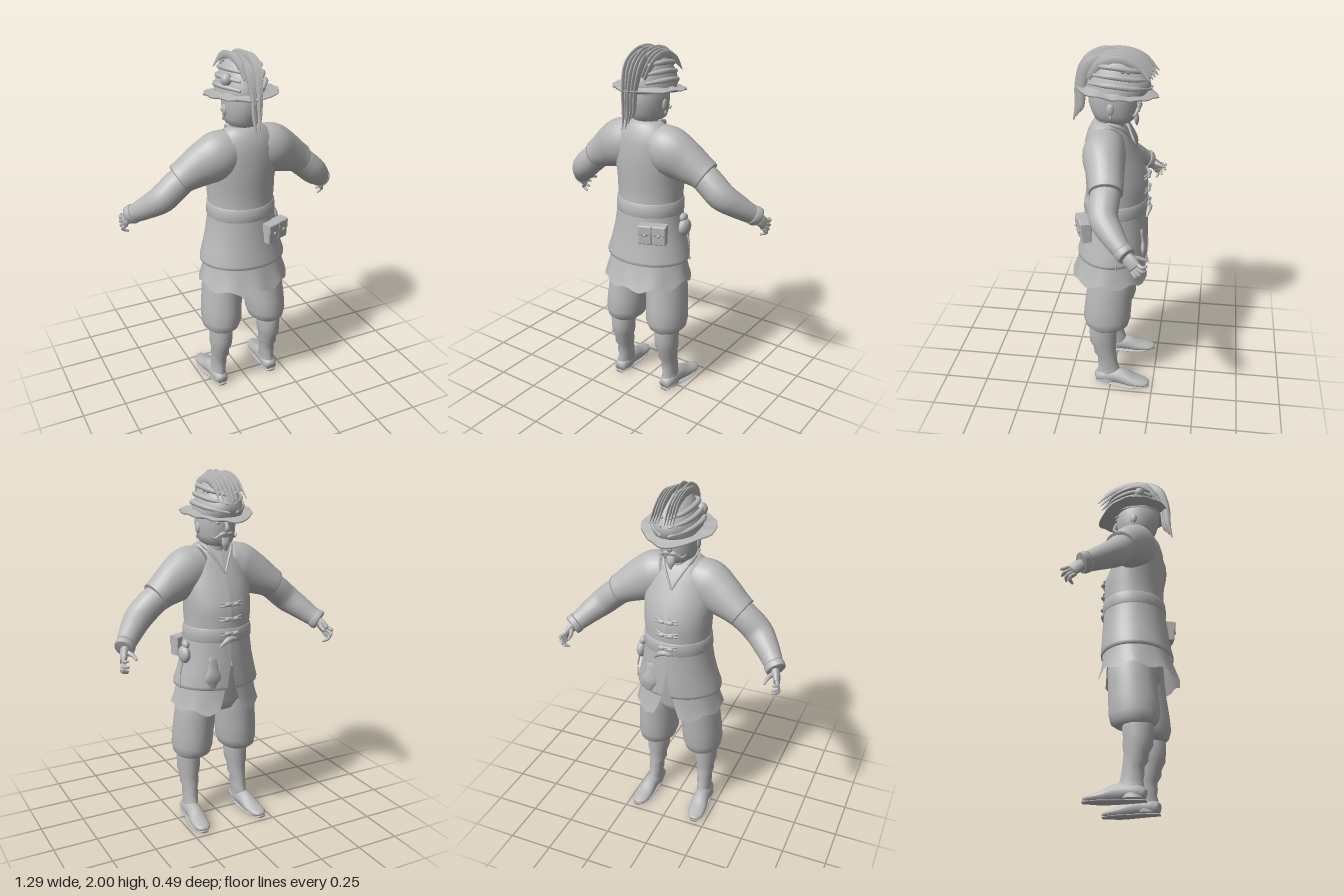
import * as THREE from 'three';

const V = (x, y, z) => new THREE.Vector3(x, y, z);
const X = V(1, 0, 0), Z = V(0, 0, 1);

// Skin a list of point rings into one smooth surface
function skin(rings, closed) {
  const n = rings[0].length, pos = rings.flat().flatMap(p => [p.x, p.y, p.z]), idx = [];
  for (let i = 0; i < rings.length - 1; i++) {
    for (let j = 0; j < (closed ? n : n - 1); j++) {
      const k = (j + 1) % n, a = i * n + j, b = i * n + k, c = a + n, d = b + n;
      idx.push(a, b, c, b, d, c);
    }
  }
  const g = new THREE.BufferGeometry();
  g.setAttribute('position', new THREE.Float32BufferAttribute(pos, 3));
  g.setIndex(idx);
  g.computeVertexNormals();
  return g;
}

// Stacked horizontal ellipses, bottom to top: [y, halfWidth, backZ, frontZ, centreX, frontGapAngle]
function hoops(rows, move = p => p, n = 36) {
  const closed = rows.every(r => !r[5]);
  return skin(rows.map(([y, w, zb, zf, cx = 0, gap = 0]) => {
    const ring = [];
    for (let j = 0; j < (closed ? n : n + 1); j++) {
      const a = Math.PI / 2 + gap + (j / n) * (2 * Math.PI - 2 * gap);
      ring.push(move(V(cx + w * Math.cos(a), y, (zb + zf) / 2 - (zb - zf) / 2 * Math.sin(a))));
    }
    return ring;
  }), closed);
}

// Tapering limb along a curve: [x, y, z, radiusAcross, radiusAlongRef]; ends are closed
function limb(points, ref = Z, steps = 16, n = 14) {
  const path = new THREE.CatmullRomCurve3(points.map(p => V(p[0], p[1], p[2])));
  const size = new THREE.CatmullRomCurve3(points.map(p => V(p[3], p[4] ?? p[3], 0)));
  const rings = [];
  for (let i = -1; i <= steps + 1; i++) {
    const t = Math.min(Math.max(i / steps, 0), 1), end = i < 0 || i > steps ? 0.01 : 1;
    const c = path.getPoint(t), s = size.getPoint(t), d = path.getTangent(t);
    const u = ref.clone().cross(d).normalize(), v = d.clone().cross(u), ring = [];
    for (let j = 0; j < n; j++) {
      const a = (j / n) * 2 * Math.PI;
      ring.push(c.clone()
        .addScaledVector(u, Math.max(s.x, 0.001) * end * Math.cos(a))
        .addScaledVector(v, Math.max(s.y, 0.001) * end * Math.sin(a)));
    }
    rings.push(ring);
  }
  return skin(rings, true);
}

export function createModel() {
  const model = new THREE.Group();
  const clay = new THREE.MeshStandardMaterial({ color: 0xb8b8b8, side: THREE.DoubleSide });
  clay.name = 'plain grey';
  const add = (name, geo) => {
    const m = new THREE.Mesh(geo, clay);
    m.name = name;
    model.add(m);
    return m;
  };
  const ball = (name, x, y, z, rx, ry = rx, rz = rx) => {
    const m = add(name, new THREE.SphereGeometry(1, 16, 12));
    m.position.set(x, y, z);
    m.scale.set(rx, ry, rz);
    return m;
  };

  // Tunic with a slit below the waist, sash and hem roll
  add('tunic', hoops([
    [0.83, 0.236, 0.198, -0.182, 0, 0.12], [0.832, 0.246, 0.207, -0.191, 0, 0.12],
    [0.85, 0.247, 0.207, -0.193, 0, 0.1], [0.92, 0.226, 0.19, -0.19, 0, 0.06],
    [1.0, 0.205, 0.18, -0.188], [1.1, 0.19, 0.166, -0.182], [1.18, 0.184, 0.158, -0.18],
    [1.24, 0.19, 0.156, -0.183], [1.31, 0.19, 0.16, -0.178], [1.4, 0.2, 0.163, -0.138],
    [1.5, 0.19, 0.158, -0.092], [1.56, 0.165, 0.142, -0.058], [1.6, 0.115, 0.12, -0.03],
    [1.618, 0.088, 0.1, -0.02], [1.61, 0.07, 0.085, -0.01]]));
  add('sash', hoops([
    [1.095, 0.186, 0.16, -0.178], [1.105, 0.195, 0.171, -0.187],
    [1.14, 0.193, 0.169, -0.188], [1.17, 0.191, 0.165, -0.187], [1.178, 0.182, 0.156, -0.178]]));

  // Shirt tail with a wavy hem, open at the front
  const wave = p => {
    if (p.y < 0.78) p.y += 0.013 * Math.sin(9 * Math.atan2(p.z, p.x)) - 0.02 * Math.abs(p.z) / 0.2;
    return p;
  };
  add('shirtTail', hoops([
    [0.715, 0.258, 0.24, -0.205, 0, 0.3], [0.77, 0.24, 0.218, -0.19, 0, 0.22],
    [0.84, 0.222, 0.19, -0.178, 0, 0.14], [0.92, 0.205, 0.175, -0.17, 0, 0.1]], wave, 54));
  add('hips', hoops([
    [0.66, 0.02, 0.04, -0.03], [0.68, 0.12, 0.11, -0.1], [0.74, 0.215, 0.14, -0.13], [0.95, 0.19, 0.15, -0.15]]));

  for (const s of [1, -1]) {
    // Baggy breeches gathered at the knee
    add('breechesLeg', hoops([
      [0.4, 0.06, 0.1, -0.03, s * 0.155], [0.395, 0.082, 0.125, -0.07, s * 0.148],
      [0.415, 0.103, 0.148, -0.098, s * 0.146], [0.46, 0.114, 0.162, -0.11, s * 0.142],
      [0.54, 0.115, 0.155, -0.115, s * 0.138], [0.64, 0.114, 0.142, -0.12, s * 0.13],
      [0.72, 0.113, 0.135, -0.125, s * 0.122], [0.84, 0.1, 0.13, -0.12, s * 0.11]]));
    // Soft wrinkled boot and foot
    add('bootShaft', hoops([
      [0.02, 0.045, 0.085, -0.04, s * 0.17], [0.07, 0.042, 0.084, -0.06, s * 0.165],
      [0.11, 0.039, 0.076, -0.046, s * 0.161], [0.14, 0.045, 0.08, -0.038, s * 0.161],
      [0.18, 0.042, 0.08, -0.034, s * 0.16], [0.21, 0.053, 0.1, -0.03, s * 0.158],
      [0.25, 0.052, 0.104, -0.026, s * 0.158], [0.29, 0.063, 0.126, -0.032, s * 0.157],
      [0.34, 0.066, 0.128, -0.03, s * 0.155], [0.385, 0.068, 0.13, -0.036, s * 0.156],
      [0.41, 0.066, 0.125, -0.03, s * 0.156]], undefined, 24));
    add('foot', limb([
      [s * 0.163, 0.035, 0.088, 0.028, 0.032], [s * 0.166, 0.05, 0.04, 0.048, 0.045],
      [s * 0.17, 0.052, -0.05, 0.05, 0.045], [s * 0.178, 0.034, -0.13, 0.032, 0.052],
      [s * 0.184, 0.026, -0.195, 0.02, 0.046], [s * 0.188, 0.024, -0.228, 0.012, 0.022]], X));
    add('bootSole', limb([
      [s * 0.165, 0.008, 0.09, 0.008, 0.025], [s * 0.168, 0.008, 0.0, 0.008, 0.042],
      [s * 0.18, 0.008, -0.13, 0.008, 0.055], [s * 0.188, 0.012, -0.23, 0.008, 0.022]], X));

    // Short tunic sleeve, shirt sleeve and cuff
    add('tunicSleeve', limb([
      [s * 0.06, 1.5, 0.035, 0.11, 0.1], [s * 0.15, 1.465, 0.035, 0.135, 0.115],
      [s * 0.25, 1.415, 0.015, 0.115, 0.1], [s * 0.33, 1.37, 0.0, 0.09, 0.09],
      [s * 0.362, 1.35, -0.004, 0.084, 0.087]], Z, 20, 24));
    add('shirtSleeve', limb([
      [s * 0.3, 1.38, 0.0, 0.07, 0.075], [s * 0.38, 1.325, 0.0, 0.078, 0.078],
      [s * 0.455, 1.26, -0.005, 0.077, 0.075], [s * 0.52, 1.205, -0.055, 0.066, 0.064],
      [s * 0.57, 1.16, -0.105, 0.055, 0.05], [s * 0.595, 1.14, -0.135, 0.05, 0.044]], Z, 20, 20));
    add('cuff', limb([
      [s * 0.578, 1.153, -0.115, 0.055, 0.05], [s * 0.592, 1.142, -0.13, 0.058, 0.05],
      [s * 0.602, 1.134, -0.142, 0.054, 0.046]], Z, 6, 20));
    // Hand with spread, slightly curled fingers
    add('palm', limb([
      [s * 0.59, 1.14, -0.13, 0.03, 0.024], [s * 0.61, 1.11, -0.16, 0.036, 0.02],
      [s * 0.622, 1.085, -0.185, 0.034, 0.016]], X, 8));
    [[1.1, -0.243], [1.065, -0.238], [1.035, -0.215], [1.018, -0.183]].forEach(([y, z], i) => {
      add('finger', limb([
        [s * 0.617, 1.108 - i * 0.014, -0.19 + i * 0.008, 0.011], [s * 0.634, (y + 1.09 - i * 0.012) / 2, z * 0.5 - 0.098, 0.0105],
        [s * (0.62 - i * 0.006), y, z, 0.006]], X, 8, 8));
    });
    add('thumb', limb([
      [s * 0.6, 1.125, -0.155, 0.014], [s * 0.578, 1.115, -0.195, 0.012], [s * 0.572, 1.1, -0.24, 0.006]], X, 8, 8));

    // Collar edge, and the paired features of the face
    add('collarEdge', limb([
      [s * 0.085, 1.617, 0.03, 0.008], [s * 0.07, 1.59, -0.045, 0.008],
      [s * 0.035, 1.53, -0.083, 0.007], [0, 1.465, -0.113, 0.006]], X, 12, 8));
    ball('ear', s * 0.103, 1.7, 0.01, 0.012, 0.032, 0.02);
    ball('earring', s * 0.108, 1.66, 0.008, 0.006, 0.014, 0.006);
    ball('eye', s * 0.04, 1.735, -0.108, 0.015, 0.009, 0.008);
    add('eyebrow', limb([[s * 0.015, 1.75, -0.122, 0.006], [s * 0.045, 1.757, -0.113, 0.007], [s * 0.075, 1.745, -0.088, 0.003]], Z, 8, 8));
    add('moustache', limb([[0, 1.682, -0.128, 0.008], [s * 0.03, 1.676, -0.122, 0.008], [s * 0.06, 1.655, -0.104, 0.006], [s * 0.078, 1.672, -0.092, 0.002]], Z, 10, 8));
  }

  // Head, neck, nose and pointed beard
  add('neck', hoops([[1.52, 0.075, 0.1, -0.05], [1.6, 0.066, 0.095, -0.045], [1.68, 0.065, 0.09, -0.05]]));
  add('head', hoops([
    [1.605, 0.01, 0.03, -0.05], [1.608, 0.06, 0.085, -0.085], [1.625, 0.085, 0.105, -0.105],
    [1.66, 0.098, 0.122, -0.116], [1.71, 0.104, 0.137, -0.12], [1.77, 0.105, 0.14, -0.122], [1.83, 0.09, 0.12, -0.1]]));
  add('nose', limb([[0, 1.75, -0.118, 0.008, 0.009], [0, 1.715, -0.132, 0.011, 0.013], [0, 1.697, -0.134, 0.01, 0.016], [0, 1.69, -0.122, 0.006, 0.012]], X, 10, 10));
  add('beard', limb([[0, 1.655, -0.114, 0.008, 0.02], [0, 1.625, -0.116, 0.014, 0.024], [0, 1.585, -0.118, 0.003, 0.004]], X, 8, 10));

  // Hat: pointed, gently warped brim and a folded crown
  const warp = p => {
    p.x *= p.z < 0 ? 1 - 0.5 * Math.min(1, p.z * p.z * 16) : 1;
    p.y += 0.09 * p.z + 0.35 * p.x * p.x + 0.004 * Math.sin(p.z * 60 + p.x * 25);
    return p;
  };
  add('hatBrim', hoops([
    [1.775, 0.1, 0.13, -0.12], [1.765, 0.15, 0.165, -0.18], [1.77, 0.2, 0.2, -0.232],
    [1.778, 0.198, 0.198, -0.23], [1.778, 0.15, 0.165, -0.18], [1.795, 0.11, 0.135, -0.13]], warp, 48));
  add('hatCrown', hoops([
    [1.765, 0.124, 0.14, -0.165], [1.8, 0.127, 0.148, -0.19], [1.84, 0.115, 0.14, -0.185],
    [1.89, 0.1, 0.12, -0.155], [1.94, 0.076, 0.085, -0.11], [1.965, 0.045, 0.05, -0.06], [1.97, 0.004, 0.0, -0.01]]));
  for (let i = 0; i < 3; i++) for (const s of [1, -1]) {
    const y = 1.815 + i * 0.043, w = 0.128 - i * 0.016;
    add('hatFold', limb([
      [s * w * 0.5, y + 0.01, 0.125 - i * 0.015, 0.008], [s * w, y + 0.02, 0.02, 0.014],
      [s * w * 0.8, y, -0.11, 0.013], [s * 0.02, y - 0.02, -0.195 + i * 0.012, 0.006]], V(0, 1, 0), 14, 8));
  }
  ball('hatButton', 0.085, 1.9, -0.08, 0.014);
  ball('hatButton', 0.088, 1.9, -0.05, 0.014);
  ball('hatRosette', -0.105, 1.87, 0.045, 0.03, 0.034, 0.03);

  // Plumes: thin upright blades trailing back, and a crest sweeping forward
  for (let i = 0; i < 6; i++) {
    const x = (i - 2.5) * 0.012, out = 0.012 * (i % 3);
    add('trailingPlume', limb([
      [x, 1.95, -0.06, 0.012, 0.003], [x, 1.975 - out, 0.05, 0.024, 0.005],
      [x * 1.3, 1.915, 0.15 - out, 0.026, 0.006], [x, 1.8, 0.19 - out, 0.02, 0.006],
      [x * 0.8, 1.68, 0.2 - out, 0.014, 0.005], [x * 0.5, 1.6 + 0.025 * (i % 3), 0.222 - out * 1.5, 0.003, 0.002]], X, 20, 8));
  }
  for (let i = 0; i < 8; i++) {
    const x = (i - 3) * 0.018, d = (i % 4) * 0.022;
    add('crestPlume', limb([
      [x * 0.8, 1.88 - d * 0.5, 0.13, 0.012, 0.003], [x, 1.955 - d * 0.4, 0.06, 0.024, 0.006],
      [x, 1.972 - d * 0.3, -0.04, 0.022, 0.006], [x, 1.945 - d * 0.5, -0.14, 0.019, 0.005],
      [x * 1.1, 1.87 - d * 0.3, -0.225 + d * 0.5, 0.003, 0.002]], X, 18, 8));
  }

  // Toggle fastenings down the chest
  for (const y of [1.15, 1.23, 1.31]) {
    for (const dy of [-0.01, 0.01]) {
      add('frogCord', limb([[-0.065, y + dy, -0.172, 0.006], [0, y + dy * 0.5, -0.19, 0.006], [0.065, y + dy, -0.172, 0.006]], V(0, 1, 0), 8, 8));
    }
    for (const x of [-0.025, 0.025]) ball('toggle', x, y, -0.192, 0.02, 0.011, 0.01);
  }
  add('sashKnot', limb([[-0.03, 1.115, -0.188, 0.01], [0.02, 1.12, -0.196, 0.016], [0.07, 1.08, -0.186, 0.006]], V(0, 1, 0), 8, 8));

  // Belt bags: twin pouch behind, round purse and strap at the side, flat sheath in front
  const box = (name, w, h, d, x, y, z, ry) => {
    const s = new THREE.Shape([[-w / 2, -h / 2], [w / 2, -h / 2], [w / 2, h / 2], [-w / 2, h / 2]].map(p => new THREE.Vector2(...p)));
    const g = new THREE.ExtrudeGeometry(s, { depth: d, bevelSize: 0.008, bevelThickness: 0.008, bevelSegments: 3 });
    g.translate(0, 0, -d / 2);
    const m = add(name, g);
    m.position.set(x, y, z);
    m.rotation.y = ry;
  };
  for (const [x, z] of [[0.095, 0.17], [0.165, 0.14]]) {
    box('backPouch', 0.06, 0.09, 0.04, x, 1.02, z, 0.35);
    box('pouchFlap', 0.062, 0.04, 0.05, x + 0.001, 1.05, z + 0.002, 0.35);
    ball('pouchButton', x + 0.012, 1.025, z + 0.032, 0.009);
  }
  ball('purse', 0.212, 1.02, -0.035, 0.03, 0.05, 0.05);
  ball('purseNeck', 0.205, 1.075, -0.035, 0.02, 0.025, 0.03);
  add('purseStrap', limb([[0.225, 0.99, -0.04, 0.006], [0.24, 0.92, -0.042, 0.005], [0.245, 0.83, -0.04, 0.005]], Z, 8, 8));
  add('sheath', limb([
    [0.1, 1.02, -0.163, 0.026, 0.008], [0.104, 0.95, -0.174, 0.03, 0.01],
    [0.108, 0.88, -0.178, 0.03, 0.01], [0.108, 0.85, -0.178, 0.014, 0.006]], Z, 10, 12));
  return model;
}
